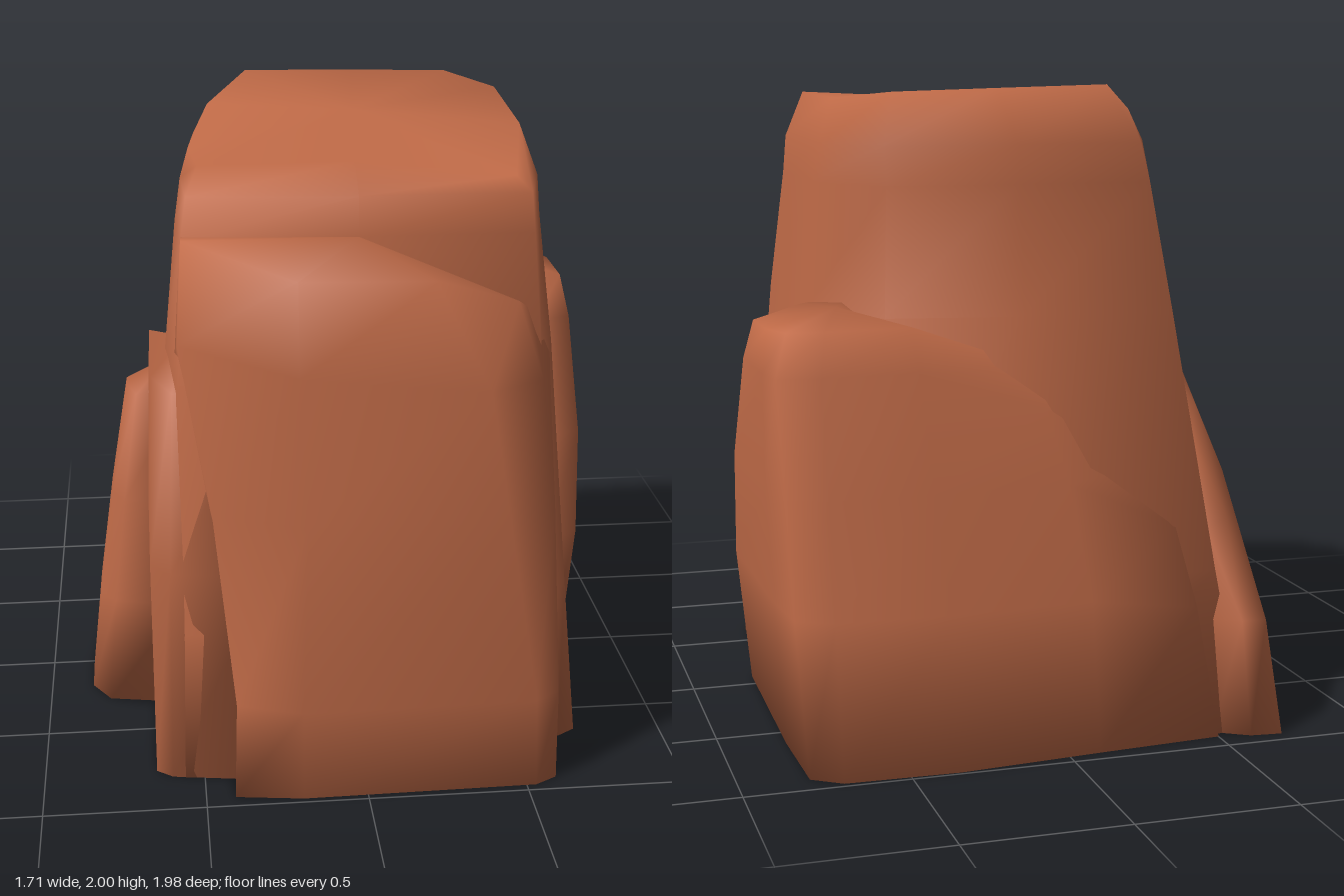
import * as THREE from 'three';

// Lofts a boulder through rings listed bottom to top.
// Ring: [height, [x, z, ownHeight?], ...], anticlockwise seen from above.
function loft(name, rings, crown, material) {
  const pos = [], index = [];
  const n = rings[0].length - 1;
  for (const [y, ...pts] of rings) {
    for (const [x, z, own = y] of pts) pos.push(x, own, z);
  }
  for (let r = 0; r < rings.length - 1; r++) {
    for (let i = 0; i < n; i++) {
      const a = r * n + i, b = r * n + (i + 1) % n;
      index.push(a, b, b + n, a, b + n, a + n);
    }
  }
  // Close both ends with fans; shared corners keep the edges soft
  const base = rings[0].slice(1);
  const mean = (k) => base.reduce((s, p) => s + p[k], 0) / n;
  const bottom = pos.length / 3, top = bottom + 1, last = (rings.length - 1) * n;
  pos.push(mean(0), 0.02, mean(1), ...crown);
  for (let i = 0; i < n; i++) {
    const j = (i + 1) % n;
    index.push(bottom, j, i, top, last + i, last + j);
  }
  const geo = new THREE.BufferGeometry();
  geo.setAttribute('position', new THREE.Float32BufferAttribute(pos, 3));
  geo.setIndex(index);
  geo.computeVertexNormals();
  const mesh = new THREE.Mesh(geo, material);
  mesh.name = name;
  return mesh;
}

export function createModel() {
  const group = new THREE.Group();
  group.name = 'rockFormation';
  const rock = new THREE.MeshStandardMaterial({ color: 0xbf6a47 });
  rock.name = 'redSandstone';

  // Tall central block with a tilted top and a ridge down its back corner
  group.add(loft('mainRock', [
    [0, [-.6, -.89], [-.63, -.5], [-.64, .4], [-.56, .82], [0, .86], [.66, .68], [.72, .64], [.72, -.4], [.62, -.92], [.1, -.93]],
    [.5, [-.53, -.8], [-.6, -.45], [-.62, .4], [-.55, .83], [0, .84], [.63, .68], [.69, .55], [.7, -.4], [.62, -.82], [.1, -.84]],
    [1.3, [-.43, -.66], [-.52, -.3], [-.58, .4], [-.55, .8], [0, .76], [.56, .68], [.63, .48], [.65, -.26], [.47, -.57], [.05, -.64]],
    [1.7, [-.38, -.58], [-.48, -.3], [-.54, .4], [-.53, .66], [0, .66], [.53, .66], [.59, .42], [.63, -.28], [.46, -.56], [.05, -.59]],
    [1.82, [-.36, -.55], [-.46, -.3], [-.52, .35], [-.51, .6], [0, .65], [.52, .65], [.58, .42], [.61, -.3], [.46, -.55], [.05, -.57]],
    [1.95, [-.27, -.48, 2], [-.41, -.3, 1.92], [-.49, .2, 1.88], [-.47, .46, 1.88], [0, .53, 1.9], [.49, .55, 1.85], [.53, .36, 1.97], [.57, -.3, 1.96], [.43, -.52, 1.98], [.1, -.51, 1.99]],
  ], [.05, 1.95, 0], rock));

  // Rounded buttress across the front, leaning back into the -x corner
  group.add(loft('frontButtress', [
    [0, [-.36, .6], [-.41, .95], [-.2, .98], [.53, .97], [.6, .93], [.65, .6]],
    [.3, [-.38, .6], [-.4, .92], [-.2, .99], [.52, .98], [.6, .92], [.65, .6]],
    [.9, [-.5, .55], [-.46, .84], [-.18, .96], [.42, .99], [.57, .9], [.62, .6]],
    [1.3, [-.56, .55], [-.55, .79, 1.42], [-.2, .92, 1.35], [.36, .95], [.53, .85], [.6, .6]],
    [1.6, [-.52, .5, 1.72], [-.53, .69, 1.71], [-.2, .88, 1.63], [.2, .91, 1.63], [.46, .8, 1.53], [.54, .6, 1.44]],
  ], [0, 1.7, .66], rock));

  // Stepped block at the back of the +x side, running down across the back
  group.add(loft('leftBackBoulder', [
    [0, [.55, .16], [.72, .15], [.79, .08], [.8, -.6], [.79, -.92], [.7, -.98], [.35, -.99], [-.1, -.95], [-.5, -.92], [-.4, -.6]],
    [.45, [.55, .13], [.72, .13], [.84, .05], [.83, -.6], [.81, -.82], [.7, -.88], [.35, -.89], [-.1, -.87], [-.45, -.85, .4], [-.4, -.55, .4]],
    [.8, [.55, .04], [.72, .04], [.85, -.02], [.85, -.6], [.82, -.76], [.7, -.81], [.38, -.81], [-.05, -.79], [-.4, -.78, .65], [-.35, -.5, .65]],
    [1.15, [.5, -.2], [.72, -.2], [.85, -.24], [.85, -.58], [.83, -.69], [.7, -.72], [.4, -.71], [0, -.72, 1.02], [-.34, -.73, .84], [-.3, -.5, .85]],
    [1.28, [.5, -.25, 1.34], [.67, -.28, 1.32], [.83, -.32], [.83, -.55], [.79, -.65], [.68, -.67], [.4, -.64], [0, -.66, 1.14], [-.28, -.64, .95], [-.2, -.45, .95]],
  ], [.6, 1.33, -.48], rock));

  // Low boulder on the -x side, falling towards the back
  group.add(loft('rightLowBoulder', [
    [0, [-.5, -.88], [-.6, -.94], [-.7, -.95], [-.79, -.6], [-.86, 0], [-.86, .18], [-.8, .28], [-.55, .33]],
    [.35, [-.5, -.82], [-.59, -.88], [-.67, -.88], [-.76, -.6], [-.82, 0], [-.82, .17], [-.77, .25], [-.55, .3]],
    [.7, [-.45, -.68, .6], [-.53, -.72, .62], [-.61, -.7, .64], [-.7, -.45, .74], [-.77, 0], [-.77, .14], [-.73, .22], [-.5, .27]],
    [1.05, [-.4, -.5, .85], [-.48, -.58, .85], [-.55, -.55, .87], [-.64, -.35, .95], [-.71, -.02], [-.71, .1, 1.07], [-.68, .16], [-.5, .2, 1.12]],
  ], [-.57, 1.12, -.02], rock));

  // Narrow shoulder at the -x front corner
  group.add(loft('rightShoulder', [
    [0, [-.4, -.3], [-.61, -.25], [-.65, .1], [-.65, .77], [-.6, .81], [-.3, .86]],
    [.7, [-.4, -.25], [-.61, -.2], [-.65, .1], [-.65, .74], [-.59, .82], [-.3, .86]],
    [1.26, [-.4, -.15, 1.15], [-.57, -.1, 1.15], [-.63, .12], [-.63, .62, 1.27], [-.57, .76], [-.3, .8]],
  ], [-.52, 1.31, .35], rock));

  // One flat underside beneath all the boulders
  const outline = [
    [-.7, -.95], [-.5, -.92], [-.1, -.95], [.35, -.99], [.7, -.98], [.79, -.92], [.8, -.6], [.79, .08],
    [.72, .15], [.72, .64], [.65, .68], [.6, .93], [.53, .97], [-.2, .98], [-.41, .95], [-.42, .84],
    [-.6, .81], [-.65, .77], [-.65, .33], [-.8, .28], [-.86, .18], [-.86, 0], [-.79, -.6],
  ].map(([x, z]) => new THREE.Vector2(x, z));
  const underside = new THREE.Mesh(
    new THREE.ShapeGeometry(new THREE.Shape(outline)).rotateX(Math.PI / 2), rock);
  underside.name = 'underside';
  group.add(underside);

  return group;
}
